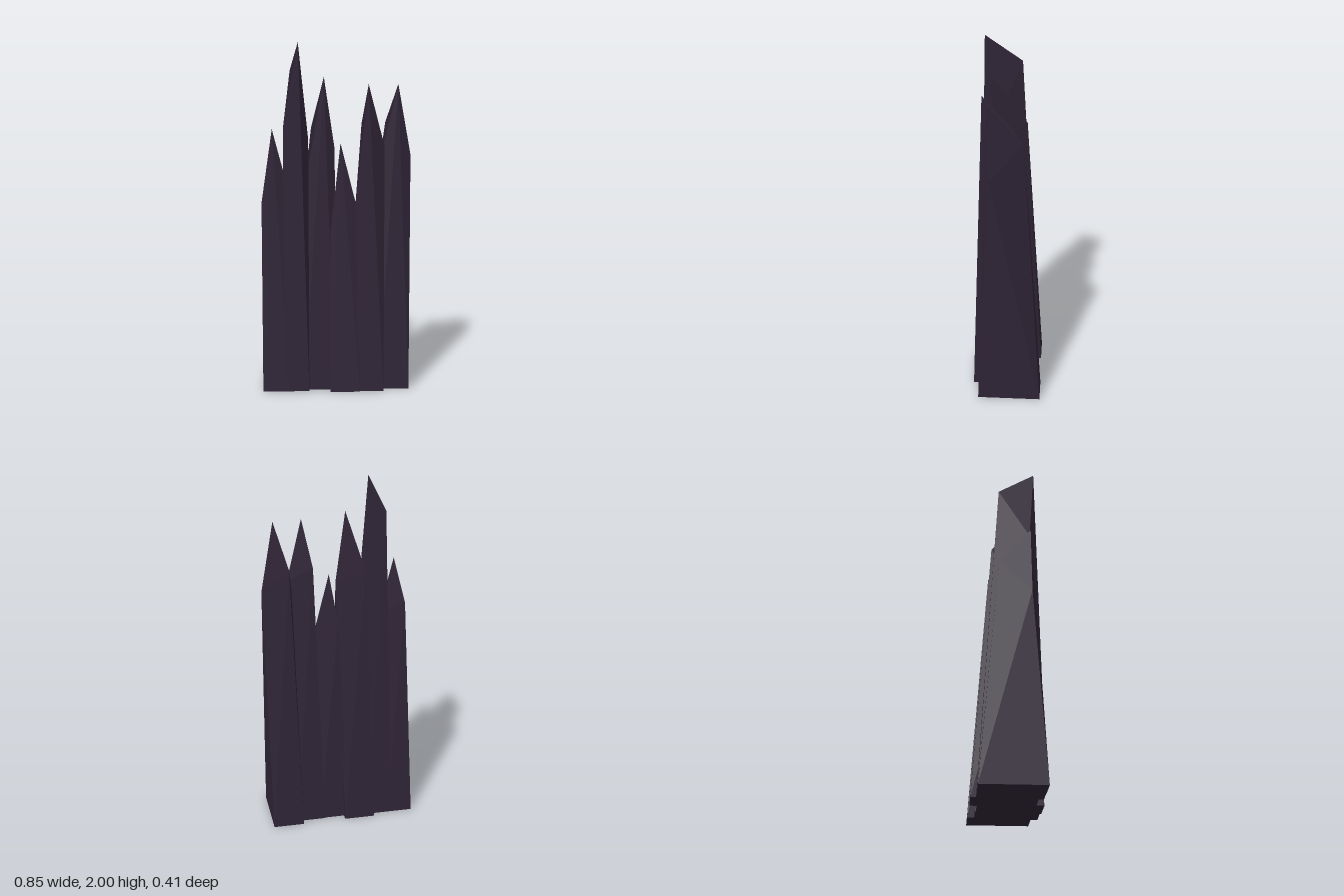
import * as THREE from 'three';
import { ConvexGeometry } from 'three/addons/geometries/ConvexGeometry.js';

// One sharpened plank per row: base rectangle, the two front shoulders,
// and the front and back ends of the sloping ridge.
const planks = [
  { x: [-0.425, -0.274], z: [-0.17, 0.19], left: [1.1, 0.116], right: [1.18, 0.114], tip: [-0.362, 1.52, 0.116], back: [-0.385, 1.3, -0.063] },
  { x: [-0.3, -0.158], z: [-0.17, 0.188], left: [1.52, 0.115], right: [1.46, 0.1], tip: [-0.212, 2.0, 0.15], back: [-0.264, 1.84, -0.063] },
  { x: [-0.185, -0.008], z: [-0.2, 0.16], left: [1.15, 0.09], right: [1.4, 0.087], tip: [-0.069, 1.81, 0.105], back: [-0.143, 1.51, -0.098] },
  { x: [-0.034, 0.136], z: [-0.16, 0.203], left: [0.92, 0.128], right: [1.0, 0.125], tip: [0.024, 1.44, 0.12], back: [0.005, 1.2, -0.052] },
  { x: [0.11, 0.274], z: [-0.165, 0.194], left: [1.1, 0.12], right: [1.42, 0.098], tip: [0.18, 1.77, 0.136], back: [0.15, 1.535, -0.06] },
  { x: [0.246, 0.423], z: [-0.205, 0.155], left: [1.33, 0.085], right: [1.37, 0.083], tip: [0.348, 1.77, 0.098], back: [0.29, 1.54, -0.097] },
];

function plankGeometry({ x, z, left, right, tip, back }) {
  const corners = [
    [x[0], 0, z[0]], [x[1], 0, z[0]], [x[1], 0, z[1]], [x[0], 0, z[1]], // base
    [x[0], ...left], [x[1], ...right], // shoulders
    tip, back, // ridge
  ];
  return new ConvexGeometry(corners.map((p) => new THREE.Vector3(...p)));
}

export function createModel() {
  const model = new THREE.Group();
  model.name = 'palisade';

  const darkWood = new THREE.MeshStandardMaterial({ color: 0x2f2436 });
  darkWood.name = 'dark purple wood';
  darkWood.flatShading = true;

  planks.forEach((plank, i) => {
    const mesh = new THREE.Mesh(plankGeometry(plank), darkWood);
    mesh.name = `pointedPlank${i + 1}`;
    model.add(mesh);
  });
  return model;
}
